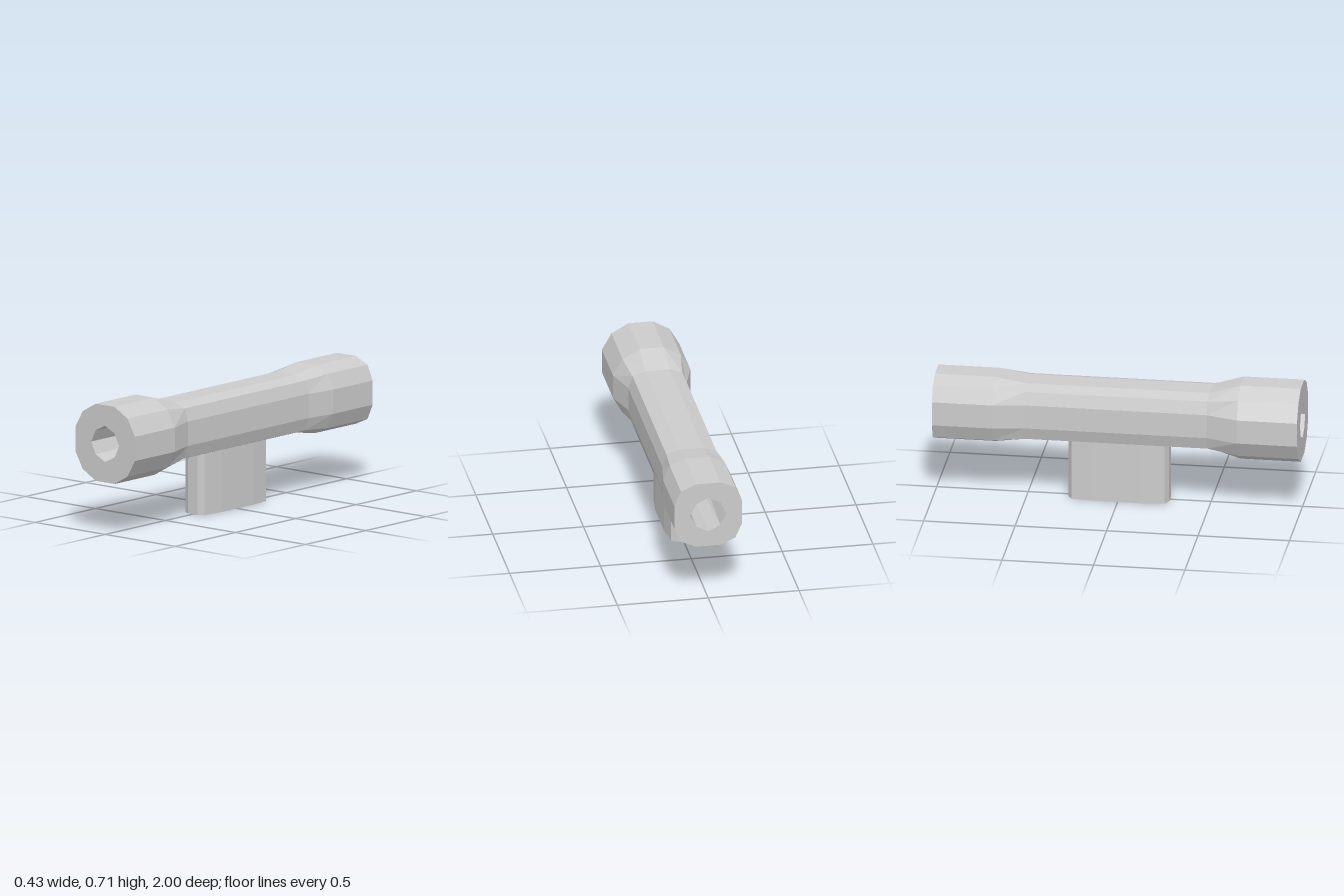
import * as THREE from 'three';

// Repeat a quarter of a cross-section four times around the z axis.
function fourfold(quarter) {
  const ring = [];
  for (let q = 0, pts = quarter; q < 4; q++, pts = pts.map(([x, y]) => [-y, x])) ring.push(...pts);
  return ring;
}

// Loft closed sections along z, joining the last one back to the first.
function loftLoop(sections) {
  const pos = [];
  const tri = (...pts) => {
    const [a, b, c] = pts.map((p) => new THREE.Vector3(...p));
    if (new THREE.Triangle(a, b, c).getArea() > 1e-7) pts.forEach((p) => pos.push(...p));
  };
  sections.forEach((s, k) => {
    const t = sections[(k + 1) % sections.length];
    const n = s.ring.length;
    for (let i = 0; i < n; i++) {
      const j = (i + 1) % n;
      const a = [...s.ring[i], s.z], b = [...s.ring[j], s.z];
      const c = [...t.ring[j], t.z], d = [...t.ring[i], t.z];
      tri(a, d, c);
      tri(a, c, b);
    }
  });
  const geo = new THREE.BufferGeometry();
  geo.setAttribute('position', new THREE.Float32BufferAttribute(pos, 3));
  geo.computeVertexNormals();
  return geo;
}

export function createModel() {
  const group = new THREE.Group();
  const mat = new THREE.MeshStandardMaterial({ color: 0xcccccc, flatShading: true });
  const add = (name, geo) => {
    const mesh = new THREE.Mesh(geo, mat);
    mesh.name = name;
    group.add(mesh);
    return mesh;
  };

  // Twelve-sided outer sections: r is the half width, d the diagonal corner.
  const w = 0.067;
  const outer = (r, d) => fourfold([[r, w], [d, d], [w, r]]);
  const front = outer(0.213, 0.16), waist = outer(0.16, 0.137), back = outer(0.187, 0.15);

  // Eight-sided bore, slightly narrowed halfway along.
  const boreEnd = fourfold([[0.1, 0], [w, w], [w, w]]);
  const boreMid = fourfold([[0.1, 0], [0.083, 0.033], [0.033, 0.083]])
    .map(([x, y]) => [Math.min(x, w), y]);

  // Flared tube with a bore right through it
  add('tube', loftLoop([
    { ring: front, z: 1 }, { ring: front, z: 0.67 },
    { ring: waist, z: 0.5 }, { ring: waist, z: -0.5 },
    { ring: back, z: -0.67 }, { ring: back, z: -1 },
    { ring: boreEnd, z: -1 }, { ring: boreMid, z: 0 }, { ring: boreEnd, z: 1 },
  ])).position.y = 0.5;

  // Mounting lug with bevelled ends, standing under the tube
  const half = [[0.033, -0.275], [0.067, -0.255], [0.08, -0.13], [0.08, 0.13], [0.067, 0.255], [0.033, 0.275]];
  const plan = [...half, ...half.map(([x, z]) => [-x, -z])];
  const lug = new THREE.ExtrudeGeometry(
    new THREE.Shape(plan.map((p) => new THREE.Vector2(...p))),
    { depth: 0.345, bevelEnabled: false },
  );
  lug.rotateX(-Math.PI / 2);
  add('mountingLug', lug);

  return group;
}
